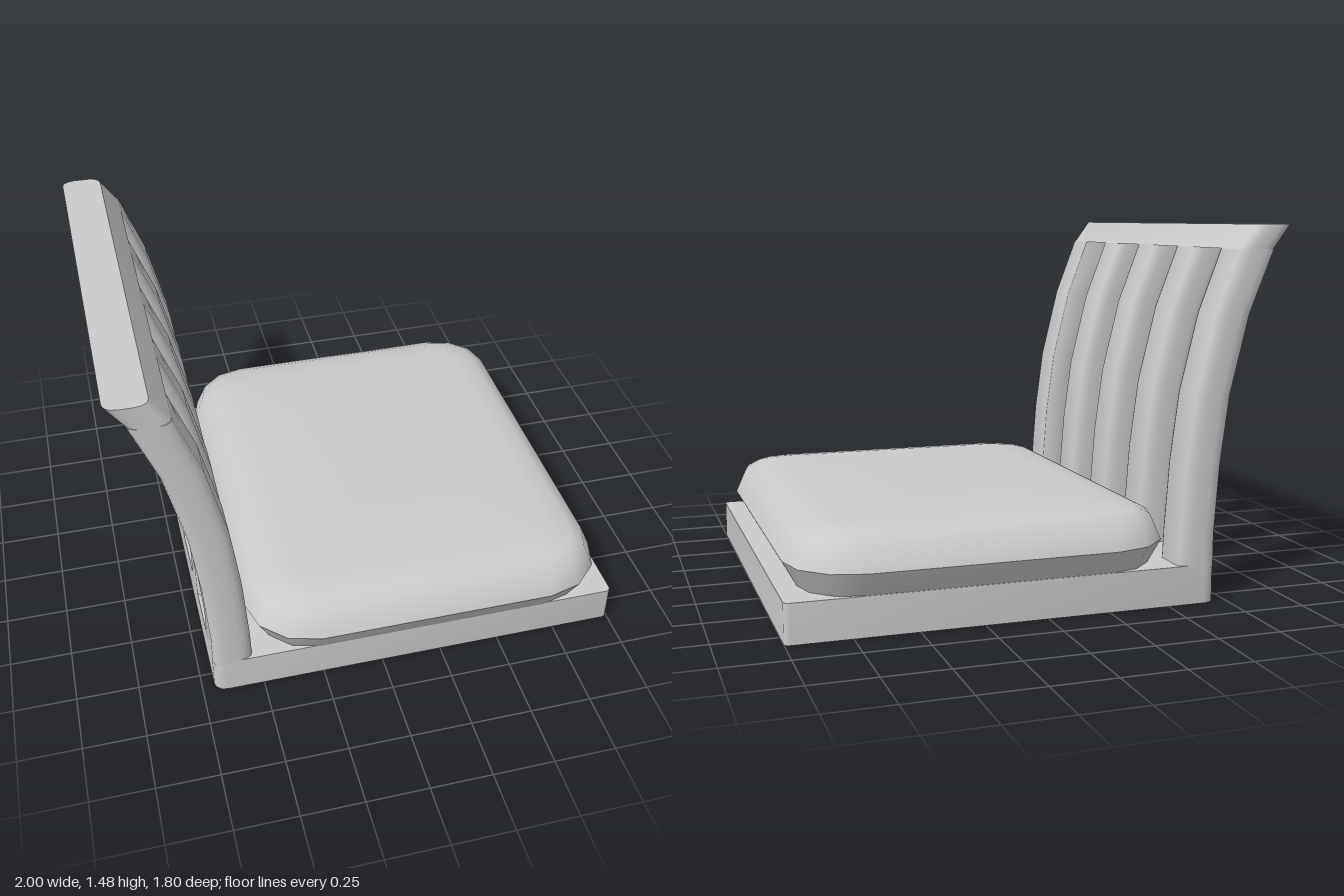
import * as THREE from 'three';
import { toCreasedNormals } from 'three/addons/utils/BufferGeometryUtils.js';

const material = new THREE.MeshStandardMaterial({ color: 0xcccccc });
const SEG = 3;

// Horizontal rounded rectangle; corners run (+x+z), (-x+z), (-x-z), (+x-z), each [rx, rz].
function ring(y, x0, x1, z0, z1, radii) {
  const signs = [[1, 1], [-1, 1], [-1, -1], [1, -1]];
  const points = [];
  signs.forEach(([sx, sz], c) => {
    const [rx, rz] = radii[c];
    const cx = sx > 0 ? x1 - rx : x0 + rx;
    const cz = sz > 0 ? z1 - rz : z0 + rz;
    for (let i = 0; i <= SEG; i++) {
      const a = (c + i / SEG) * Math.PI / 2;
      points.push(new THREE.Vector3(cx + rx * Math.cos(a), y, cz + rz * Math.sin(a)));
    }
  });
  return points;
}

// Skin a stack of rings from bottom to top and close both ends.
function loft(name, rings) {
  const n = rings[0].length;
  const points = rings.flat();
  const index = [];
  for (let k = 0; k < rings.length - 1; k++) {
    for (let i = 0; i < n; i++) {
      const a = k * n + i, b = k * n + (i + 1) % n;
      index.push(a, a + n, b, b, a + n, b + n);
    }
  }
  [0, rings.length - 1].forEach((k, top) => {
    const centre = new THREE.Vector3();
    rings[k].forEach(p => centre.addScaledVector(p, 1 / n));
    const c = points.push(centre) - 1;
    for (let i = 0; i < n; i++) {
      const a = k * n + i, b = k * n + (i + 1) % n;
      index.push(c, top ? b : a, top ? a : b);
    }
  });
  const geometry = new THREE.BufferGeometry().setFromPoints(points);
  geometry.setIndex(index);
  const mesh = new THREE.Mesh(toCreasedNormals(geometry, 0.8), material);
  mesh.name = name;
  return mesh;
}

// Backward sweep of the backrest: [height, rear x, front x]
const SWEEP = [
  [0.14, -0.70, -0.54], [0.27, -0.70, -0.545], [0.55, -0.72, -0.565], [0.82, -0.755, -0.60],
  [1.13, -0.83, -0.675], [1.38, -0.93, -0.77], [1.475, -1.0, -0.84],
];
const ROUND = [0.05, 0.03], SQUARE = [0.002, 0.002];

function backPart(name, levels, z0, z1, radii) {
  return loft(name, levels.map(([y, rear, front]) => ring(y, rear, front, z0, z1, radii)));
}

export function createModel() {
  const group = new THREE.Group();

  // Flat base, more rounded at the rear corners
  const front = [0.02, 0.02], rear = [0.05, 0.04];
  const baseRadii = [front, rear, rear, front];
  group.add(loft('base', [0, 0.155].map(y => ring(y, -0.70, 1.0, -0.85, 0.845, baseRadii))));

  // Seat cushion: [height, inset]
  const cushion = [[0.15, 0.055], [0.25, 0], [0.35, 0.045], [0.378, 0.1], [0.39, 0.19], [0.394, 0.25]];
  group.add(loft('cushion', cushion.map(([y, d]) => {
    const r = [0.27 - d, 0.26 - d];
    return ring(y, -0.535 + d, 0.97 - d, -0.9 + d, 0.9 - d, [r, r, r, r]);
  })));

  // Backrest posts and slats
  const backrest = new THREE.Group();
  backrest.name = 'backrest';
  const round = [ROUND, ROUND, ROUND, ROUND];
  const upright = SWEEP.slice(0, 6);
  backrest.add(backPart('leftPost', upright, 0.66, 0.845, [ROUND, ROUND, SQUARE, SQUARE]));
  backrest.add(backPart('rightPost', upright, -0.85, -0.67, round));
  for (const z of [-0.383, -0.005, 0.37]) {
    backrest.add(backPart('slat', upright, z - 0.092, z + 0.092, round));
  }

  // Top rail
  const rail = [[0.05, 0.04], [0.05, 0.04], [0.05, 0.04], [0.05, 0.04]];
  backrest.add(backPart('topRail', SWEEP.slice(5), -0.85, 0.845, rail));
  group.add(backrest);

  return group;
}
